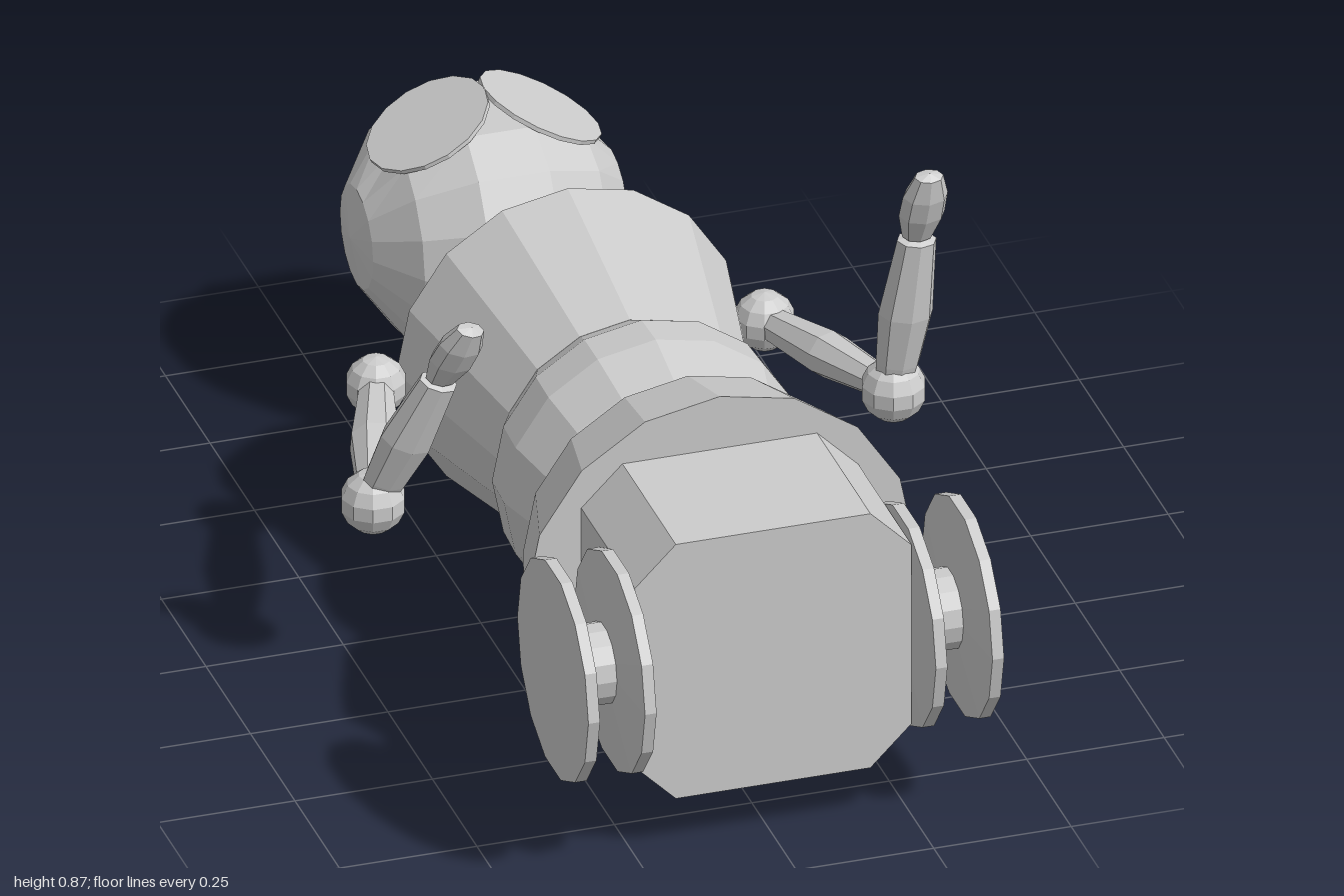
import * as THREE from 'three';

const CY = 0.356; // height of the body axis

export function createModel() {
  const model = new THREE.Group();
  model.name = 'robot';
  const grey = new THREE.MeshStandardMaterial({ color: 0xcccccc, flatShading: true });
  grey.name = 'grey';

  const add = (name, geometry, parent = model) => {
    const mesh = new THREE.Mesh(geometry, grey);
    mesh.name = name;
    parent.add(mesh);
    return mesh;
  };
  // Profile points are [radius, height], bottom to top
  const lathe = (points, sides) =>
    new THREE.LatheGeometry(points.map(([r, h]) => new THREE.Vector2(r, h)), sides);
  // Part turned about the body axis, heights measured along z
  const turned = (name, points, sides = 16) => {
    add(name, lathe(points, sides).rotateX(Math.PI / 2)).position.y = CY;
  };

  // Torso
  turned('skirt', [[0, 0.39], [0.3, 0.39], [0.355, 0.57], [0, 0.57]]);
  turned('belly', [[0.235, 0.06], [0.272, 0.13], [0.276, 0.21], [0.25, 0.31], [0.218, 0.4]]);
  turned('chest', [[0, -0.465], [0.06, -0.455], [0.16, -0.425], [0.25, -0.37],
    [0.312, -0.285], [0.238, 0.065], [0, 0.065]]);
  turned('neck', [[0.035, -0.54], [0.02, -0.505], [0.045, -0.455]], 10);

  // Chamfered base block
  const a = 0.252, b = 0.177;
  const octagon = new THREE.Shape([[a, -b], [a, b], [b, a], [-b, a], [-a, b], [-a, -b], [-b, -a], [b, -a]]
    .map(([x, y]) => new THREE.Vector2(x, y)));
  add('base', new THREE.ExtrudeGeometry(octagon, { depth: 0.31, bevelEnabled: false }))
    .position.set(0, CY, 0.56);

  // Head: faceted ball with its poles on x, cut flat behind each eye
  const head = new THREE.Group();
  head.name = 'head';
  head.position.set(0, 0.361, -0.755);
  model.add(head);
  const R = 0.25, tilt = THREE.MathUtils.degToRad(27);
  const rings = [158, 132, 105, 75, 48, 22].map((d) => {
    const t = THREE.MathUtils.degToRad(d);
    return [R * Math.sin(t), R * Math.cos(t)];
  });
  const cap = rings[5][1] + 0.012;
  const ball = lathe([[0, -cap], ...rings, [0, cap]], 16).rotateZ(-Math.PI / 2);
  const pos = ball.attributes.position, v = new THREE.Vector3();
  for (const s of [-1, 1]) {
    const n = new THREE.Vector3(s * Math.sin(tilt), Math.cos(tilt), 0);
    for (let i = 0; i < pos.count; i++) {
      v.fromBufferAttribute(pos, i);
      v.addScaledVector(n, -Math.max(0, v.dot(n) - 0.222));
      pos.setXYZ(i, v.x, v.y, v.z);
    }
    const eye = add(s > 0 ? 'leftEye' : 'rightEye', new THREE.CylinderGeometry(0.117, 0.117, 0.008, 16), head);
    eye.position.copy(n).multiplyScalar(0.224);
    eye.rotation.z = -s * tilt;
  }
  add('skull', ball, head);

  // Spool wheels
  for (const s of [-1, 1]) {
    const spool = lathe([[0, 0.25], [0.2, 0.254], [0.2, 0.275], [0.073, 0.285],
      [0.073, 0.345], [0.2, 0.357], [0.2, 0.378], [0, 0.378]], 14).rotateZ(-Math.PI / 2);
    const wheel = add(s > 0 ? 'leftWheel' : 'rightWheel', spool);
    wheel.position.set(0, CY, 0.8);
    if (s < 0) wheel.rotation.y = Math.PI;
  }

  // Limb section between two points, profile as [radius, fraction of length]
  const limb = (name, from, to, profile, depth, parent) => {
    const p = new THREE.Vector3(...from), d = new THREE.Vector3(...to).sub(p);
    const length = d.length();
    const mesh = add(name, lathe(profile.map(([r, h]) => [r, h * length]), 8), parent);
    mesh.scale.z = depth;
    mesh.position.copy(p);
    mesh.quaternion.setFromUnitVectors(new THREE.Vector3(0, 1, 0), d.normalize());
  };
  const arm = (name, shoulder, elbow, wrist, tip) => {
    const group = new THREE.Group();
    group.name = name;
    model.add(group);
    add('shoulder', new THREE.SphereGeometry(0.055, 10, 7), group).position.set(...shoulder);
    add('elbow', new THREE.SphereGeometry(0.059, 10, 7), group).position.set(...elbow);
    limb('upperArm', shoulder, elbow, [[0.03, 0], [0.036, 0.2], [0.045, 0.5], [0.03, 0.9], [0.028, 1]], 0.95, group);
    limb('forearm', elbow, wrist, [[0.03, 0], [0.04, 0.18], [0.05, 0.5], [0.036, 0.97], [0, 1]], 0.75, group);
    limb('hand', wrist, tip, [[0, -0.04], [0.028, 0], [0.042, 0.35], [0.041, 0.65], [0.026, 0.95], [0, 1]], 0.65, group);
  };
  arm('leftArm', [0.35, 0.36, -0.26], [0.468, 0.395, 0.1], [0.497, 0.72, 0.145], [0.503, 0.867, 0.195]);
  arm('rightArm', [-0.36, 0.36, -0.25], [-0.485, 0.348, 0.12], [-0.39, 0.62, 0.205], [-0.355, 0.752, 0.275]);

  return model;
}
